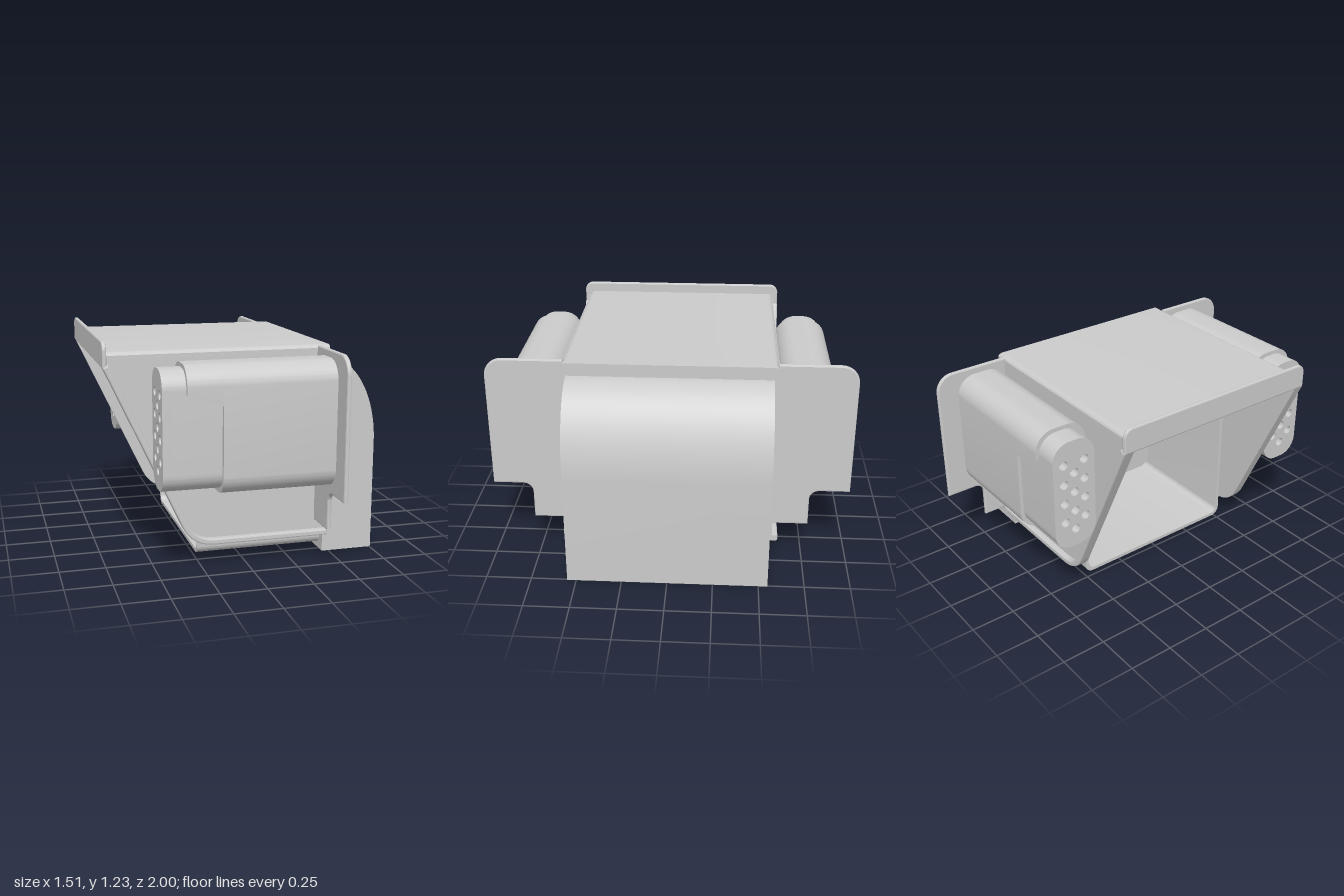
import * as THREE from 'three';
import { toCreasedNormals } from 'three/addons/utils/BufferGeometryUtils.js';

const material = new THREE.MeshStandardMaterial({ color: 0xcccccc, side: THREE.DoubleSide });

function add(parent, name, geometry) {
  const mesh = new THREE.Mesh(toCreasedNormals(geometry, 0.35), material);
  mesh.name = name;
  parent.add(mesh);
}

// Extrude a shape between two depths, with an optional small edge rounding
function extrude(shape, from, to, bevel = 0) {
  const g = new THREE.ExtrudeGeometry(shape, {
    depth: to - from - 2 * bevel, curveSegments: 12, bevelEnabled: bevel > 0,
    bevelThickness: bevel, bevelSize: bevel, bevelOffset: -bevel, bevelSegments: 2,
  });
  return g.translate(0, 0, from + bevel);
}

// Extrude along x; the shape is drawn in (-z, y)
const extrudeX = (shape, from, to, bevel) => extrude(shape, from, to, bevel).rotateY(Math.PI / 2);

// Rectangle with separate bottom and top corner radii
function roundRect(x0, x1, y0, y1, rb, rt, C = THREE.Shape) {
  const s = new C();
  s.moveTo(x0 + rb, y0);
  s.lineTo(x1 - rb, y0);
  if (rb) s.absarc(x1 - rb, y0 + rb, rb, -Math.PI / 2, 0);
  s.lineTo(x1, y1 - rt);
  if (rt) s.absarc(x1 - rt, y1 - rt, rt, 0, Math.PI / 2);
  s.lineTo(x0 + rt, y1);
  if (rt) s.absarc(x0 + rt, y1 - rt, rt, Math.PI / 2, Math.PI);
  s.lineTo(x0, y0 + rb);
  if (rb) s.absarc(x0 + rb, y0 + rb, rb, Math.PI, Math.PI * 1.5);
  return s;
}

// Bottom and sloped edge of the side panels
function panelEdge() {
  const curve = new THREE.QuadraticBezierCurve(
    new THREE.Vector2(-0.17, 0.114), new THREE.Vector2(-0.298, 0.114), new THREE.Vector2(-0.349, 0.225));
  return [new THREE.Vector2(0.47, 0.114), ...curve.getPoints(14), new THREE.Vector2(-0.755, 1.1)];
}

// Shift an edge sideways, towards the panel's middle
function inset(points, d) {
  return points.map((p, i) => {
    const a = points[Math.max(i - 1, 0)], b = points[Math.min(i + 1, points.length - 1)];
    const t = b.clone().sub(a).normalize();
    return new THREE.Vector2(p.x + t.y * d, p.y - t.x * d);
  });
}

function housing() {
  const g = new THREE.Group();
  g.name = 'housing';
  // Inner box, open towards -x
  const tube = roundRect(-0.507, 0.507, 0.03, 1.15, 0.05, 0);
  tube.holes.push(roundRect(-0.487, 0.487, 0.05, 1.14, 0.035, 0, THREE.Path));
  add(g, 'innerBox', extrudeX(tube, -0.248, 0.465));
  add(g, 'rearWall', extrudeX(roundRect(-0.577, 0.577, 0.114, 1.17, 0, 0.02), 0.435, 0.47));
  add(g, 'roof', extrudeX(roundRect(-0.577, 0.577, 1.14, 1.172, 0, 0.03), -0.745, 0.47));
  add(g, 'frontLip', extrudeX(roundRect(-0.608, 0.608, 1.092, 1.23, 0, 0.05), -0.755, -0.733, 0.008));

  const edge = panelEdge();
  const panel = new THREE.Shape([...edge, new THREE.Vector2(-0.75, 1.155), new THREE.Vector2(0.47, 1.155)]);
  const rim = new THREE.Shape([...edge, ...inset(edge, 0.034).reverse()]);
  for (const s of [1, -1]) {
    const span = (a, b) => (s > 0 ? [a, b] : [-b, -a]);
    add(g, 'sidePanel', extrude(panel, ...span(0.55, 0.577)));
    add(g, 'panelRim', extrude(rim, ...span(0.55, 0.61), 0.008));
    // Ledge closing the gap between the inner box and the panel
    add(g, 'floorLedge', extrudeX(roundRect(...span(0.5, 0.56), 0.118, 0.145, 0, 0), -0.17, 0.465));
  }
  return g;
}

function rearBlock() {
  const s = new THREE.Shape();
  s.moveTo(0.462, 0);
  s.lineTo(0.755, 0);
  s.lineTo(0.755, 0.62);
  s.absellipse(0.462, 0.62, 0.293, 0.482, 0, Math.PI / 2);
  return extrude(s, -0.55, 0.55);
}

function sidePod(side) {
  const g = new THREE.Group();
  g.name = side > 0 ? 'frontPod' : 'backPod';
  const span = (a, b) => (side > 0 ? [-b, -a] : [a, b]);

  // Core with a perforated end
  const [c0, c1] = span(0.61, 0.86);
  const core = () => roundRect(c0, c1, 0.485, 1.11, 0.1, 0.1);
  add(g, 'podCore', extrudeX(core(), -0.46, 0.4));
  const end = core();
  const mid = (c0 + c1) / 2;
  for (const col of [-1, 0, 1]) {
    for (let i = 0; i < 4; i++) {
      const y = 0.8 + (col ? 0.185 : 0.125) - i * 0.113;
      const hole = new THREE.Path();
      hole.absarc(mid + col * 0.062, y, 0.025, 0, Math.PI * 2);
      end.holes.push(hole);
    }
  }
  add(g, 'perforatedEnd', extrudeX(end, -0.505, -0.46));

  // Outer sleeve with an overhanging, slanted top
  const [s0, s1] = span(0.58, 0.88);
  add(g, 'podSleeve', extrudeX(roundRect(s0, s1, 0.46, 1.132, 0.11, 0.11), -0.2, 0.4));
  const cap = extrudeX(roundRect(s0, s1, 0.93, 1.132, 0, 0.11), -0.383, -0.2);
  const p = cap.attributes.position;
  for (let i = 0; i < p.count; i++) {
    if (p.getX(i) < -0.3 && p.getY(i) < 0.94) p.setY(i, 0.99);
  }
  add(g, 'sleeveOverhang', cap);

  // Stepped flange plate
  const f = new THREE.Shape();
  f.moveTo(0.57, 0.2);
  f.lineTo(0.778, 0.2);
  f.lineTo(0.778, 0.36);
  f.absarc(0.833, 0.36, 0.055, Math.PI, Math.PI / 2, true);
  f.lineTo(1, 0.415);
  f.lineTo(1, 1.07);
  f.absarc(0.9, 1.07, 0.1, 0, Math.PI / 2);
  f.lineTo(0.57, 1.17);
  const flat = new THREE.Shape(f.getPoints(10).map(v => new THREE.Vector2(-side * v.x, v.y)));
  add(g, 'flangePlate', extrudeX(flat, 0.4, 0.425, 0.008));
  return g;
}

export function createModel() {
  const model = new THREE.Group();
  model.name = 'model';
  model.add(housing());
  add(model, 'rearBlock', rearBlock());
  for (const side of [1, -1]) model.add(sidePod(side));
  return model;
}
